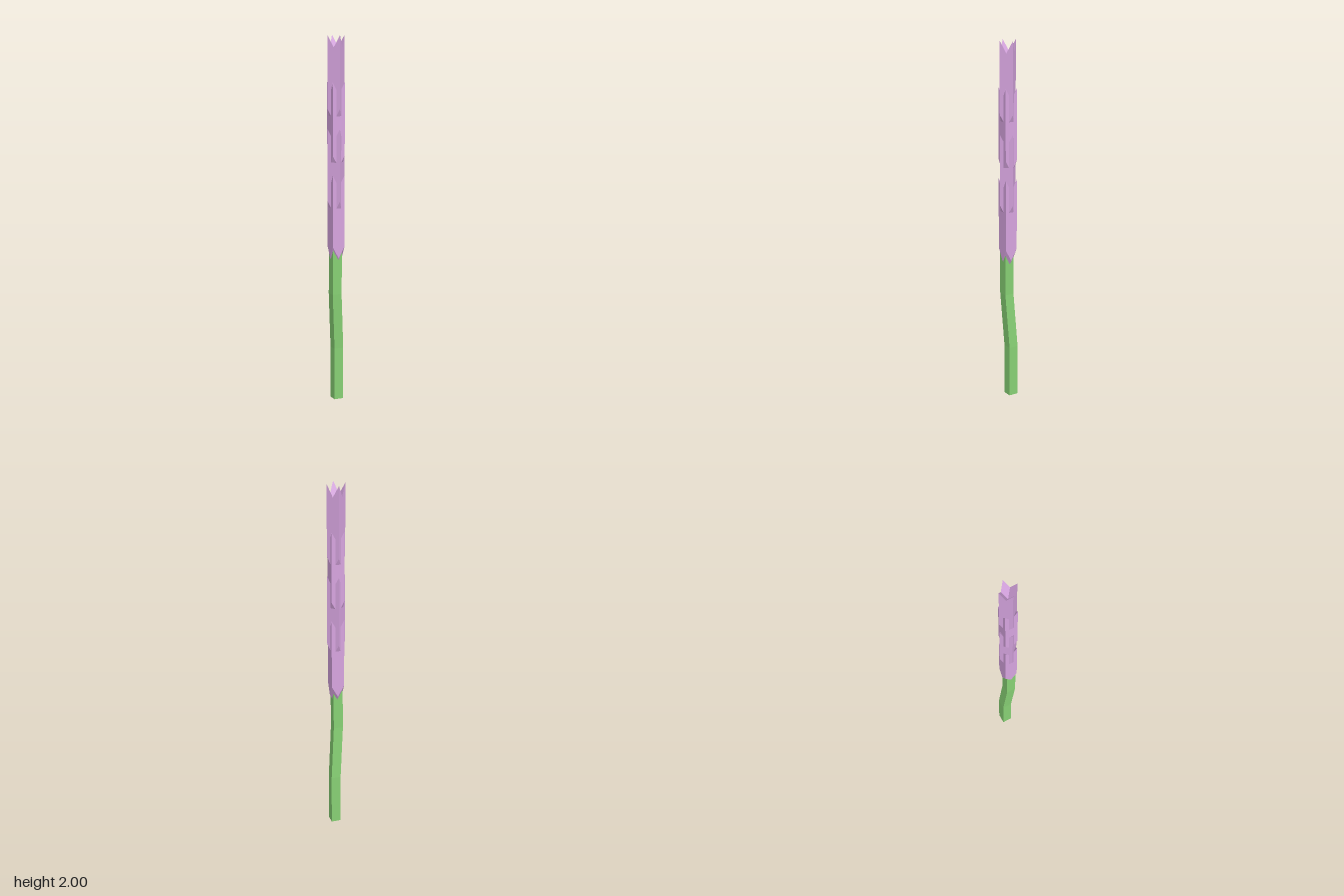
import * as THREE from 'three';

const SIDE = 0.0707;   // width of a blossom block
const DIP = 0.065;     // drop from a corner to an edge middle

const petalMaterial = new THREE.MeshStandardMaterial({ color: 0xd6a4df, flatShading: true });
const stemMaterial = new THREE.MeshStandardMaterial({ color: 0x87d074, flatShading: true });

// Square block whose corners rise and whose centre sinks, at both ends
function blossomBlock(topY, height, turn) {
  const geometry = new THREE.BoxGeometry(SIDE, height, SIDE, 2, 1, 2);
  const p = geometry.attributes.position;
  for (let i = 0; i < p.count; i++) {
    const rise = (Math.abs(p.getX(i)) + Math.abs(p.getZ(i))) / (SIDE / 2) - 2;
    p.setY(i, p.getY(i) + DIP * rise);
  }
  geometry.computeVertexNormals();
  const mesh = new THREE.Mesh(geometry, petalMaterial);
  mesh.position.y = topY - height / 2;
  mesh.rotation.y = turn;
  return mesh;
}

// Square stem bent at two joints; each ring is [x, y, z] of its centre
function bentStem(rings, width) {
  const segments = rings.length - 1;
  const geometry = new THREE.BoxGeometry(width, segments, width, 1, segments, 1);
  const p = geometry.attributes.position;
  for (let i = 0; i < p.count; i++) {
    const [x, y, z] = rings[Math.round(p.getY(i) + segments / 2)];
    p.setXYZ(i, p.getX(i) + x, y, p.getZ(i) + z);
  }
  geometry.computeVertexNormals();
  return new THREE.Mesh(geometry, stemMaterial);
}

export function createModel() {
  const model = new THREE.Group();
  model.name = 'flowerSpike';

  const stem = bentStem([
    [0.012, 0, -0.014],
    [0.012, 0.29, -0.014],
    [-0.006, 0.6, 0.002],
    [-0.004, 0.88, 0.004],
  ], 0.053);
  stem.name = 'stem';
  model.add(stem);

  // Overlapping blocks, every second one turned by an eighth
  const blossom = new THREE.Group();
  blossom.name = 'blossom';
  for (let i = 0; i < 4; i++) {
    const block = blossomBlock(1.255 + i * 0.2483, 0.39, (i % 2) * Math.PI / 4);
    block.name = `blossomTier${i + 1}`;
    blossom.add(block);
  }
  model.add(blossom);

  return model;
}
